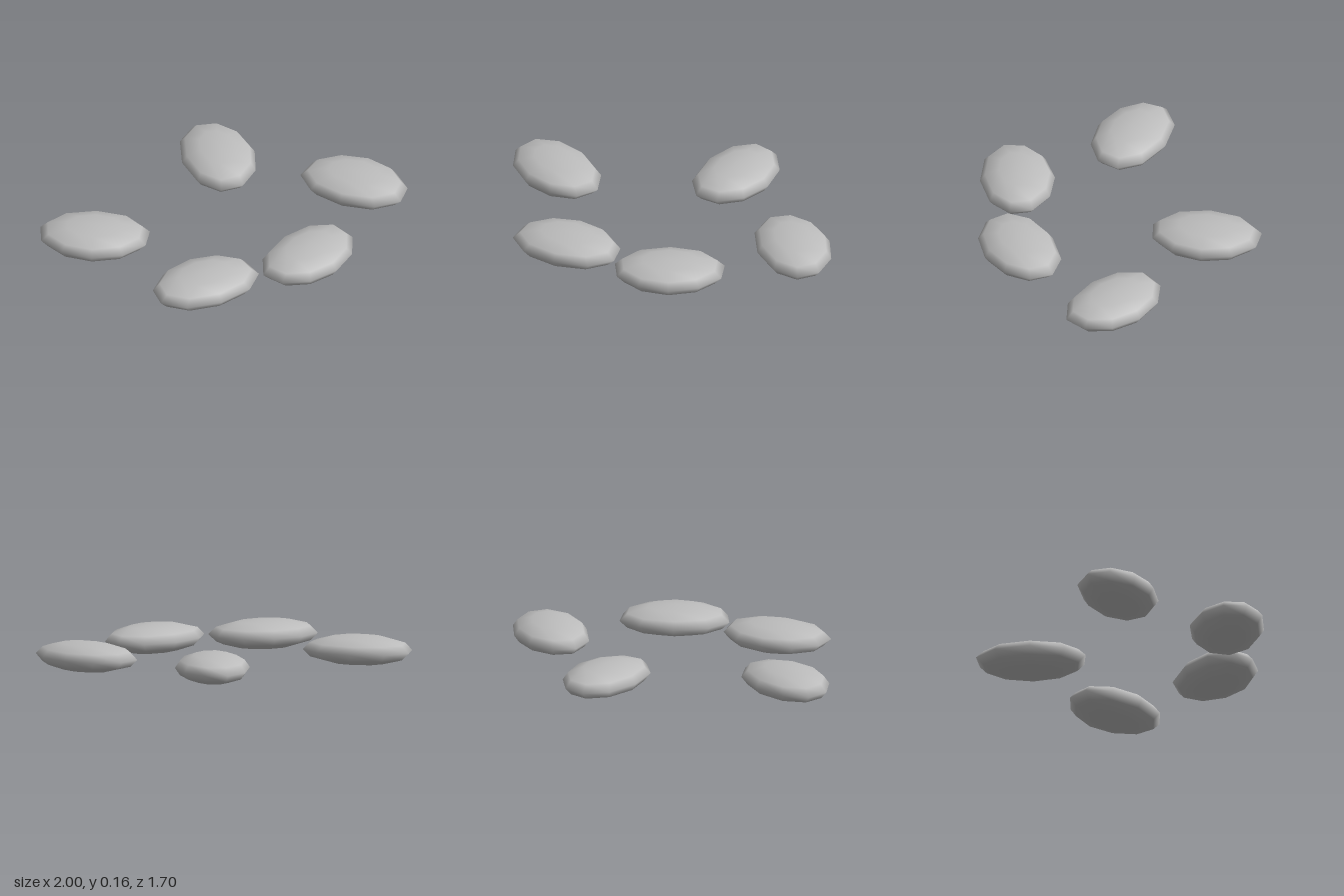
import * as THREE from 'three';

// One flattened oval pebble, slightly wider along its back edge
function pebbleGeometry() {
  const geo = new THREE.SphereGeometry(1, 10, 6);
  geo.rotateY(Math.PI / 2);
  geo.scale(0.312, 0.082, 0.208);
  const pos = geo.attributes.position;
  for (let i = 0; i < pos.count; i++) {
    pos.setX(i, pos.getX(i) * (1 - 0.08 * pos.getZ(i) / 0.208));
  }
  // The sphere's own normals, rescaled with the shape, keep the seam smooth
  return geo;
}

export function createModel() {
  const group = new THREE.Group();
  group.name = 'steppingStones';
  const stoneGrey = new THREE.MeshStandardMaterial({ color: 0xbcbcbc });
  stoneGrey.name = 'stone grey';
  const geo = pebbleGeometry();

  // x, z and turn in degrees of each stone
  const stones = [
    [-0.70, 0.225, 0],
    [-0.06, 0.61, 211],
    [0.497, 0.32, 52],
    [0.705, -0.378, 160],
    [-0.067, -0.555, 109],
  ];
  stones.forEach(([x, z, turn], i) => {
    const stone = new THREE.Mesh(geo, stoneGrey);
    stone.name = `stone${i + 1}`;
    stone.position.set(x, 0.085, z);
    stone.rotation.y = THREE.MathUtils.degToRad(turn);
    group.add(stone);
  });
  return group;
}
